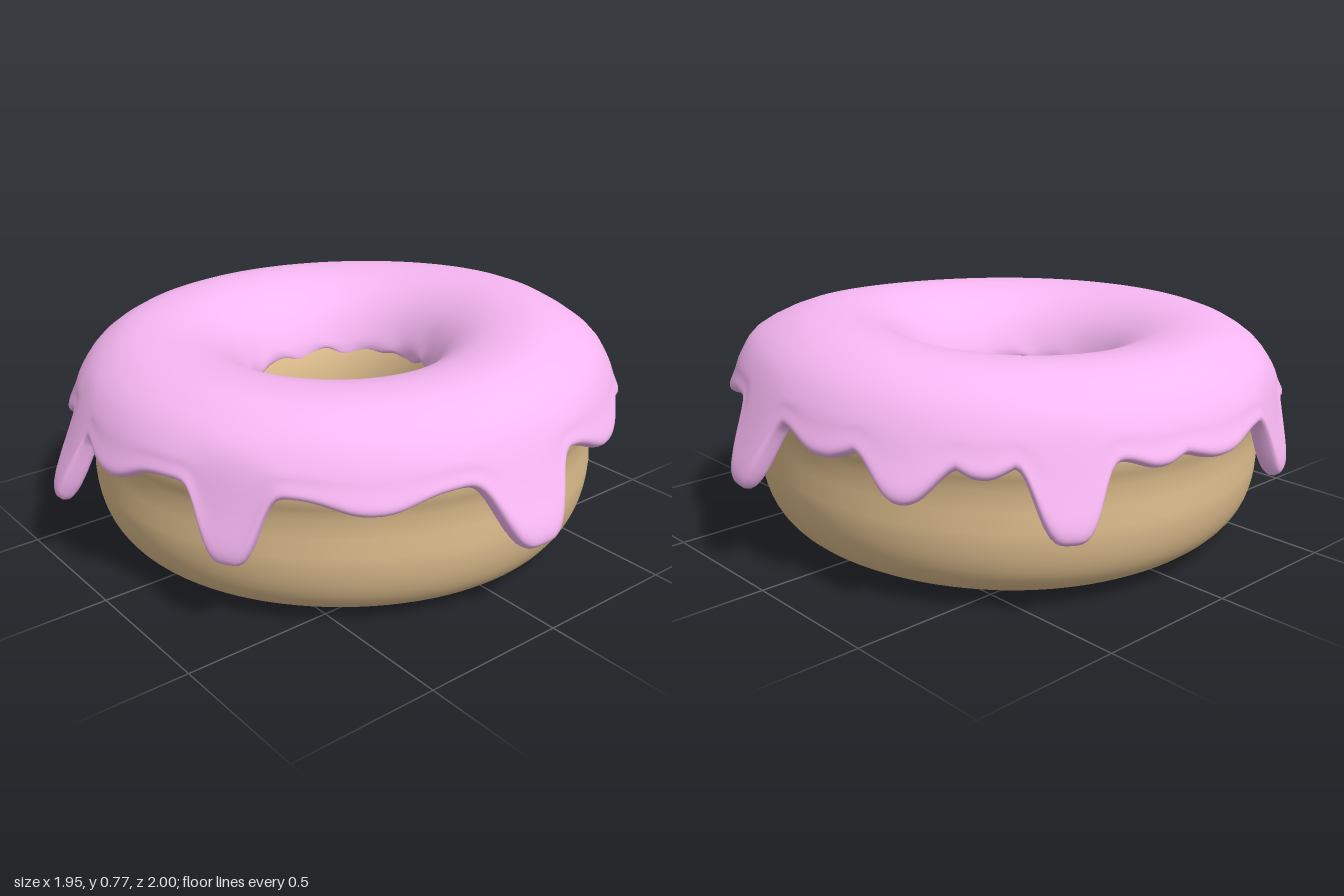
import * as THREE from 'three';

const RAD = Math.PI / 180;

// Closed ring swept round y; section(angle) lists [radius, y] from the hole over the top and back underneath
function sweptRing(steps, section) {
  const pos = [], index = [];
  let n = 0;
  for (let i = 0; i < steps; i++) {
    const a = (i / steps) * Math.PI * 2;
    const pts = section(a);
    n = pts.length;
    for (const [r, y] of pts) pos.push(r * Math.cos(a), y, r * Math.sin(a));
  }
  for (let i = 0; i < steps; i++) {
    const k = (i + 1) % steps;
    for (let j = 0; j < n; j++) {
      const m = (j + 1) % n;
      index.push(i * n + j, k * n + j, i * n + m, k * n + j, k * n + m, i * n + m);
    }
  }
  const geo = new THREE.BufferGeometry();
  geo.setAttribute('position', new THREE.Float32BufferAttribute(pos, 3));
  geo.setIndex(index);
  geo.computeVertexNormals();
  return geo;
}

// Uneven hand-made shape: the back rises, the underside tilts, one side swells
const hump = (x, c, w) => Math.exp(-(((x - c) / w) ** 2));
const rise = (a, y) => (y / 0.73) * 0.048 * ((1 + Math.cos(a - 293 * RAD)) / 2) ** 4;
const tilt = (a, y) => Math.max(0, 1 - y / 0.5) * (0.017 - 0.012 * Math.cos(a) + 0.005 * Math.sin(3 * a));
const swell = (a) => 0.03 * hump(a, 313 * RAD, 0.35);

// Dough: superellipse section with a pinched waist below the icing
function doughSection(a) {
  const inner = 0.308 + 0.025 * Math.cos(a) + 0.015 * Math.sin(a);
  const outer = 0.862 + 0.008 * Math.cos(3 * a + 1) + 0.6 * swell(a);
  const mid = 0.585, pts = [];
  for (let j = 0; j < 64; j++) {
    const f = Math.PI - (j / 64) * Math.PI * 2;
    const c = Math.cos(f), s = Math.sin(f);
    const p = 2 / (c < 0 ? 2.15 : 2.9);
    const y = 0.33 + 0.33 * Math.sign(s) * Math.abs(s) ** p;
    let r = mid + (c < 0 ? mid - inner : outer - mid) * Math.sign(c) * Math.abs(c) ** p;
    if (c > 0) r += 0.03 * hump(y, 0.5, 0.07) - 0.012 * hump(y, 0.37, 0.06);
    pts.push([r, y + rise(a, y) + tilt(a, y)]);
  }
  return pts;
}

// Icing drips: [angle in degrees, drop, half width in degrees, pull towards the dough]
const DRIPS = [
  [1, 0.21, 8.5, 0], [59, 0.23, 6.6, 0.07], [104.5, 0.24, 4.4, 0], [156.5, 0.21, 6, 0.05],
  [213, 0.21, 6.5, 0.02], [242, 0.12, 7, 0], [280.5, 0.21, 6.5, 0],
  [32, 0.045, 9, 0], [88, 0.06, 8, 0], [122, 0.055, 7, 0], [138, 0.03, 7, 0], [180, 0.04, 8, 0],
  [195, 0.03, 5, 0], [228, 0.04, 5, 0], [260, 0.045, 7, 0], [310, 0.045, 9, 0], [333, 0.07, 9, 0],
];

// Length and inward pull of the icing edge at an angle
function dripAt(a) {
  let drop = 0, pull = 0;
  for (const [deg, depth, width, inward] of DRIPS) {
    const d = a - deg * RAD;
    const u = Math.abs(Math.atan2(Math.sin(d), Math.cos(d))) / (width * RAD);
    const k = Math.exp(-(u ** (depth > 0.2 ? 3.6 : 2.4)));
    drop = Math.max(drop, depth * k);
    pull = Math.max(pull, inward * k);
  }
  return [drop, pull];
}

// Icing: shell of varying length with rounded ends
function icingSection(a) {
  const [drop, pull] = dripAt(a);
  const edge = 0.505 - drop;
  const lip = 0.47 + 0.015 * Math.sin(9 * a) + 0.01 * Math.sin(14 * a + 1);
  const out = swell(a);
  const flare = (y) => 0.93 + out + (0.5 - y) * 0.48;
  const mid = (0.58 + edge) / 2;
  const curve = new THREE.SplineCurve([
    [0.312 + 0.008 * Math.sin(11 * a), lip], [0.318, 0.53], [0.385, 0.63], [0.49, 0.698], [0.62, 0.725],
    [0.74, 0.711], [0.84 + out, 0.652], [0.895 + out, 0.58], [flare(mid) - pull / 2, mid], [flare(edge) - pull, edge],
  ].map(([x, y]) => new THREE.Vector2(x, y)));
  const N = 40, top = [], under = [];
  for (let j = 0; j <= N; j++) {
    const u = j / N - (0.75 * Math.sin((2 * Math.PI * j) / N)) / (2 * Math.PI);
    const p = curve.getPoint(u), t = curve.getTangent(u);
    const half = (0.055 + 0.1 * drop * u) / 2;
    const e = 1 - Math.min(1, Math.min(u, 1 - u) / 0.06);
    const k = Math.sqrt(1 - e * e);
    const y = p.y + rise(a, p.y);
    const offset = (s) => [p.x + t.y * s, y - t.x * s];
    top.push(offset(half * (1 - k)));
    if (j > 0 && j < N) under.unshift(offset(half * (1 + k)));
  }
  return top.concat(under);
}

export function createModel() {
  const group = new THREE.Group();
  group.name = 'donut';
  const add = (name, geometry, color) => {
    const mesh = new THREE.Mesh(geometry, new THREE.MeshStandardMaterial({ color }));
    mesh.name = name;
    mesh.position.set(-0.04, 0, 0.012);
    group.add(mesh);
  };
  add('dough', sweptRing(120, doughSection), 0xdcbc8c);
  add('icing', sweptRing(384, icingSection), 0xf8b8f4);
  return group;
}
